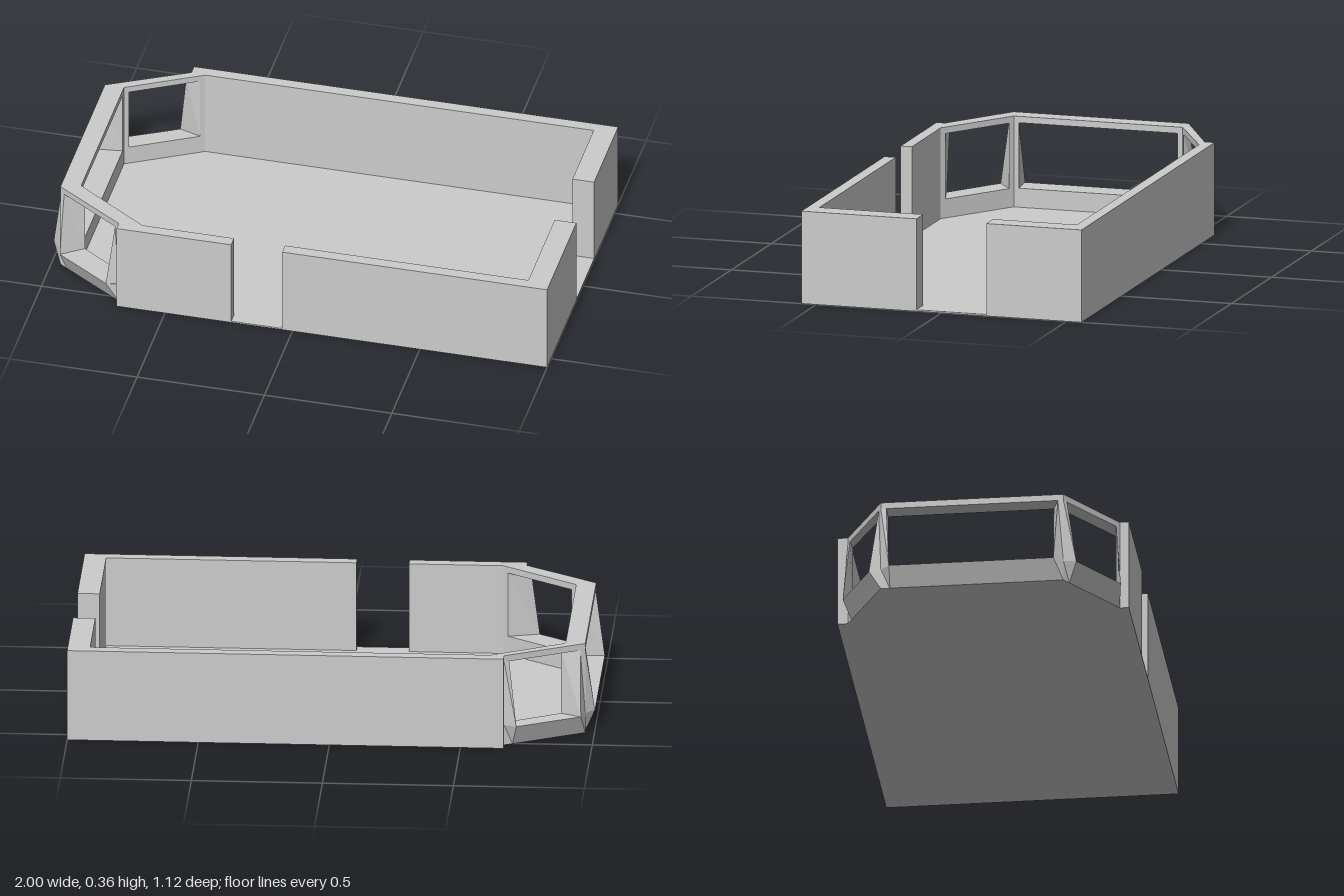
import * as THREE from 'three';

const H = 0.36, SILL = 0.08, HEAD = 0.335, BULGE = 0.035;
const material = new THREE.MeshStandardMaterial({ color: 0xcccccc, flatShading: true });

// Solid between two convex plan outlines ([x, z] points) at heights y0 and y1
function loft(name, bottom, y0, top, y1) {
  const n = bottom.length;
  let area = 0;
  bottom.forEach(([x, z], i) => {
    const [u, v] = bottom[(i + 1) % n];
    area += x * v - u * z;
  });
  const order = bottom.map((_, i) => (area > 0 ? i : n - 1 - i));
  const pos = [];
  for (const i of order) pos.push(bottom[i][0], y0, bottom[i][1]);
  for (const i of order) pos.push(top[i][0], y1, top[i][1]);
  const index = [];
  for (let i = 0; i < n; i++) {
    const j = (i + 1) % n;
    index.push(i, n + i, n + j, i, n + j, j);
    if (i > 0 && i < n - 1) index.push(0, i, i + 1, n, n + i + 1, n + i);
  }
  const indexed = new THREE.BufferGeometry();
  indexed.setAttribute('position', new THREE.Float32BufferAttribute(pos, 3));
  indexed.setIndex(index);
  const geometry = indexed.toNonIndexed();
  geometry.computeVertexNormals();
  const mesh = new THREE.Mesh(geometry, material);
  mesh.name = name;
  return mesh;
}

const prism = (name, plan, y0, y1) => loft(name, plan, y0, plan, y1);
const rect = (x0, x1, z0, z1) => [[x0, z0], [x1, z0], [x1, z1], [x0, z1]];
const mix = (a, b, t) => [a[0] + (b[0] - a[0]) * t, a[1] + (b[1] - a[1]) * t];

// Window bay: sill that flares outward, leaning posts and a thin header
function windowPanel(name, i0, i1, o0, o1) {
  const group = new THREE.Group();
  group.name = name;
  const dx = o1[0] - o0[0], dz = o1[1] - o0[1], len = Math.hypot(dx, dz);
  let nx = -dz / len, nz = dx / len;
  if (nx * (o0[0] - i0[0]) + nz * (o0[1] - i0[1]) < 0) { nx = -nx; nz = -nz; }
  const t = 0.035 / len;
  const flare = (s) => {
    const p = mix(o0, o1, s);
    return [p[0] + nx * BULGE, p[1] + nz * BULGE];
  };

  group.add(loft('windowSill',
    [i0, o0, mix(o0, o1, t), mix(o0, o1, 1 - t), o1, i1], 0,
    [i0, o0, flare(t), flare(1 - t), o1, i1], SILL));
  group.add(prism('windowHeader', [i0, o0, o1, i1], HEAD, H));
  for (const [a, b, c, d, s] of [[i0, i1, o0, o1, t], [i1, i0, o1, o0, 1 - t]]) {
    group.add(loft('windowPost',
      [a, c, flare(s), mix(a, b, t * 0.6)], SILL,
      [a, c, mix(c, d, t * 0.6), mix(a, b, t * 0.6)], HEAD));
  }
  return group;
}

export function createModel() {
  const model = new THREE.Group();
  model.name = 'roomWithBay';

  // Bay corners on the inside and outside of the wall
  const inner = [[-0.6, 0.515], [-0.89, 0.315], [-0.89, -0.36], [-0.61, -0.515]];
  const outer = [[-0.69, 0.525], [-0.965, 0.34], [-0.965, -0.36], [-0.665, -0.52]];

  // Floor and doorway thresholds
  model.add(prism('floor', [...inner, [0.915, -0.515], [0.915, 0.515]], 0, 0.006));
  model.add(prism('frontThreshold', rect(-0.24, -0.04, 0.515, 0.56), 0, 0.006));
  model.add(prism('sideThreshold', rect(0.915, 1, -0.18, 0.1), 0, 0.006));

  // Straight walls, broken by the two doorways
  model.add(prism('backWall',
    [[-0.665, -0.56], [1, -0.56], [1, -0.515], inner[3], outer[3]], 0, H));
  model.add(prism('frontWallShort',
    [[-0.69, 0.56], [-0.24, 0.56], [-0.24, 0.515], inner[0], outer[0]], 0, H));
  model.add(prism('frontWallLong', rect(-0.04, 1, 0.515, 0.56), 0, H));
  model.add(prism('sideWallFront', rect(0.915, 1, 0.1, 0.515), 0, H));
  model.add(prism('sideWallBack', rect(0.915, 1, -0.515, -0.18), 0, H));

  // Three-sided window bay
  ['frontBayWindow', 'endBayWindow', 'backBayWindow'].forEach((name, i) => {
    model.add(windowPanel(name, inner[i], inner[i + 1], outer[i], outer[i + 1]));
  });

  return model;
}
